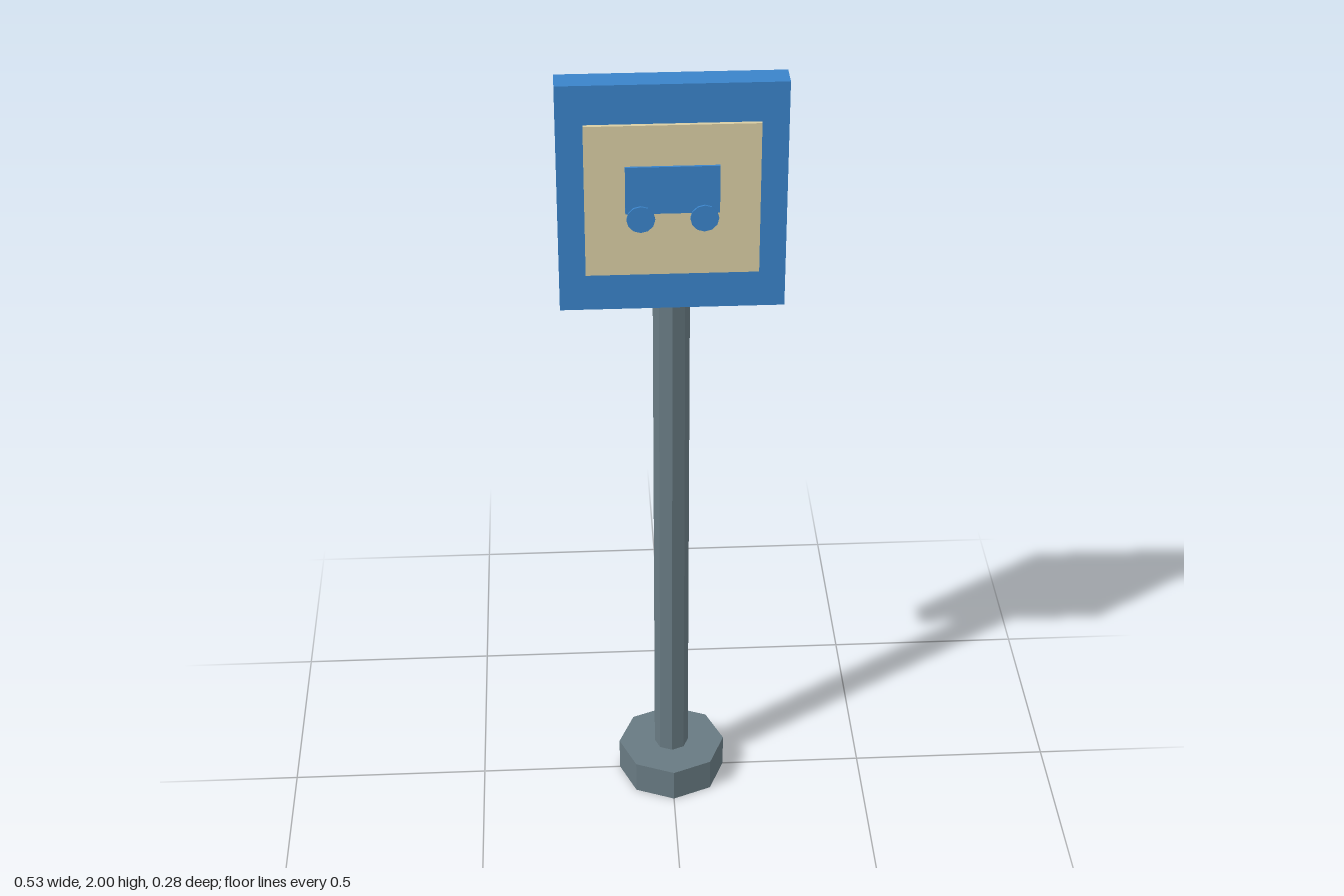
import * as THREE from 'three';

const material = (color) => new THREE.MeshStandardMaterial({ color, flatShading: true });

export function createModel() {
  const model = new THREE.Group();
  const steel = material(0x687a82);
  const blue = material(0x3a83c9);
  const cream = material(0xd9cda3);

  const add = (name, geometry, mat, x, y, z) => {
    const mesh = new THREE.Mesh(geometry, mat);
    mesh.name = name;
    mesh.position.set(x, y, z);
    model.add(mesh);
    return mesh;
  };

  // Octagonal foot and post
  add('base', new THREE.CylinderGeometry(0.138, 0.138, 0.088, 8), steel, 0, 0.044, -0.001);
  add('post', new THREE.CylinderGeometry(0.044, 0.044, 1.742, 8), steel, 0, 0.959, -0.001);

  // Sign board with a raised inner panel
  add('signBoard', new THREE.BoxGeometry(0.526, 0.566, 0.065), blue, 0, 1.717, 0.013);
  add('innerPanel', new THREE.BoxGeometry(0.402, 0.376, 0.01), cream, 0, 1.717, 0.05);

  // Vehicle pictogram: body and two wheels
  add('vehicleBody', new THREE.BoxGeometry(0.216, 0.117, 0.006), blue, 0, 1.747, 0.059);
  for (const side of [-1, 1]) {
    const wheel = add(side > 0 ? 'leftWheel' : 'rightWheel',
      new THREE.CylinderGeometry(0.033, 0.033, 0.006, 12), blue, side * 0.073, 1.676, 0.064);
    wheel.rotation.x = Math.PI / 2;
  }
  return model;
}
